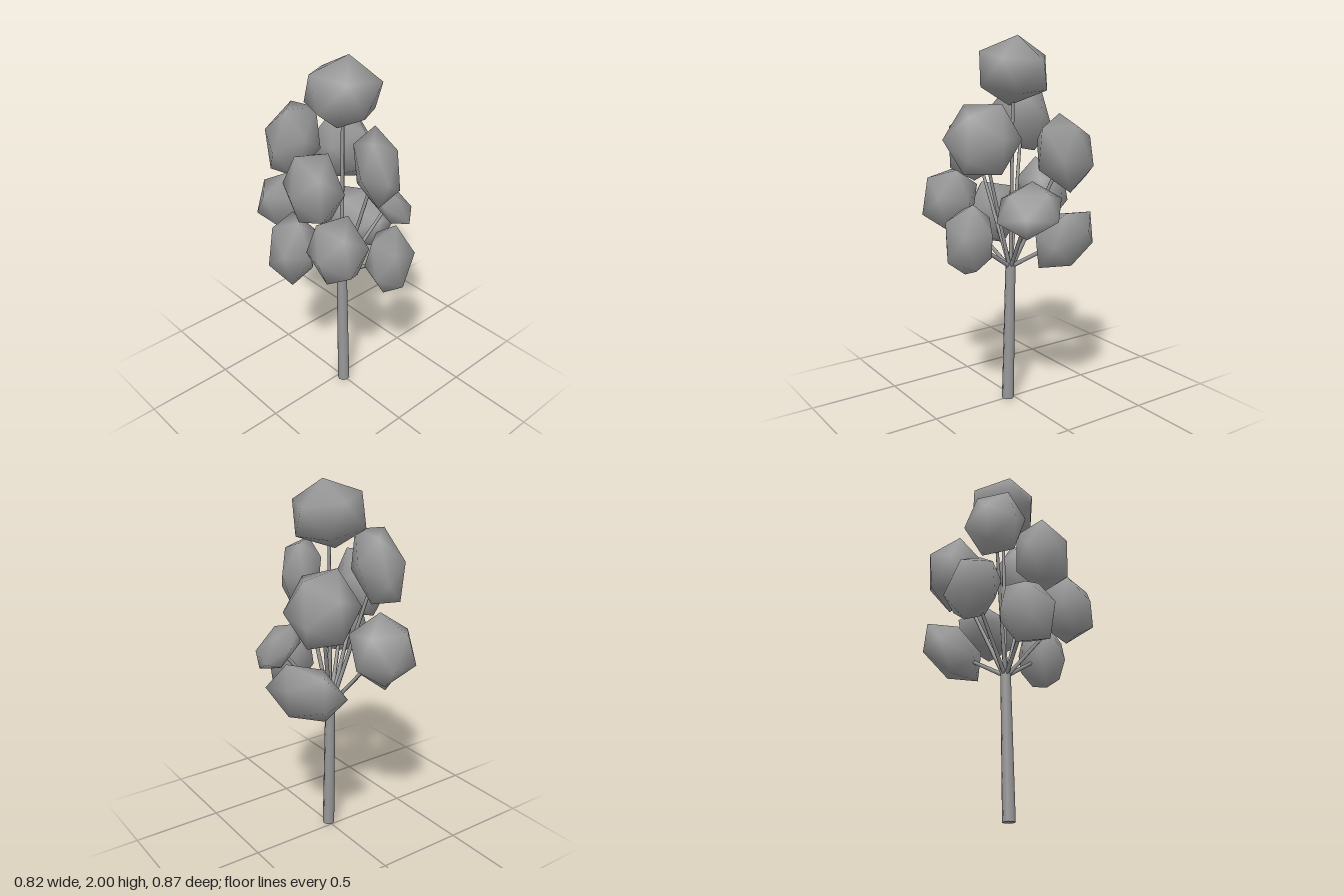
import * as THREE from 'three';
import { mergeVertices } from 'three/addons/utils/BufferGeometryUtils.js';

const V = (a) => new THREE.Vector3(...a);
const grey = new THREE.MeshStandardMaterial({ color: 0x999999 });
grey.name = 'grey';

// Each foliage clump: centre, size, flattening direction, flattening, roll in degrees
const clumps = [
  [[0.012, 1.82, 0.007], [0.4, 0.36, 0.37], [0.64, 0.07, -0.76], 1, 38],
  [[-0.165, 1.565, -0.175], [0.3, 0.37, 0.33], [-0.3, 0.8, -0.5], 0.75, 38],
  [[0.045, 1.48, 0.22], [0.29, 0.36, 0.36], [0.8, 0.1, 0.6], 0.62, 0],
  [[0.195, 1.4, -0.195], [0.3, 0.4, 0.33], [0.6, 0.35, -0.5], 0.8, 10],
  [[-0.25, 1.41, 0.08], [0.285, 0.38, 0.32], [-0.2, 0, 1], 0.95, 3],
  [[-0.245, 1.13, 0.25], [0.31, 0.34, 0.295], [0, 0.2, 1], 0.85, 2],
  [[-0.12, 1.15, -0.285], [0.34, 0.38, 0.3], [0.3, 0.35, -0.9], 0.75, 30],
  [[0.28, 1.14, 0.093], [0.26, 0.26, 0.36], [0.6, 0.7, 0.45], 0.5, 30],
  [[0.265, 0.953, -0.148], [0.28, 0.32, 0.375], [0.85, -0.4, -0.6], 0.65, -5],
  [[0.06, 0.972, 0.318], [0.29, 0.385, 0.235], [0.1, 0.1, 1], 0.6, 15],
  [[-0.285, 1.015, -0.055], [0.25, 0.37, 0.33], [-1, 0.2, -0.2], 0.7, 5],
];

// Smooth icosahedron with a six-sided outline facing n, flattened along n, fitted to size
function clumpGeometry(size, n, flat, roll) {
  let g = new THREE.IcosahedronGeometry(1, 0);
  g.deleteAttribute('normal');
  g.deleteAttribute('uv');
  g = mergeVertices(g, 1e-4);

  const e3 = V([1, 1, 1]).normalize();
  const e1 = V([0, 1, -(1 + Math.sqrt(5)) / 2]).projectOnPlane(e3).normalize();
  const e2 = e3.clone().cross(e1);
  g.applyMatrix4(new THREE.Matrix4().makeBasis(e1, e2, e3).transpose());
  g.rotateZ(THREE.MathUtils.degToRad(roll));
  g.scale(1, 1, flat);

  const w = V(n).normalize();
  const u = V([0, 1, 0]).cross(w).normalize();
  g.applyMatrix4(new THREE.Matrix4().makeBasis(u, w.clone().cross(u), w));

  g.computeBoundingBox();
  const s = V(size).divide(g.boundingBox.getSize(new THREE.Vector3()));
  g.scale(s.x, s.y, s.z);
  g.computeVertexNormals();
  return g;
}

// Tapered straight limb between two points
function limb(name, a, b, r0, r1, sides) {
  const d = b.clone().sub(a);
  const mesh = new THREE.Mesh(new THREE.CylinderGeometry(r1, r0, d.length(), sides), grey);
  mesh.position.copy(a).addScaledVector(d, 0.5);
  mesh.quaternion.setFromUnitVectors(V([0, 1, 0]), d.normalize());
  mesh.name = name;
  return mesh;
}

export function createModel() {
  const tree = new THREE.Group();
  tree.name = 'tree';

  // Slightly leaning trunk
  const fork = V([-0.002, 0.79, 0.016]);
  tree.add(limb('trunk', V([-0.002, 0.001, 0.035]), fork, 0.034, 0.028, 8));

  // One thin branch to every clump
  clumps.forEach(([centre, size, n, flat, roll], i) => {
    const c = V(centre);
    const start = fork.clone().add(V([c.x * 0.04, -0.015, c.z * 0.04]));
    tree.add(limb('branch' + (i + 1), start, c, 0.012, 0.009, 6));

    const clump = new THREE.Mesh(clumpGeometry(size, n, flat, roll), grey);
    clump.position.copy(c);
    clump.name = 'foliage' + (i + 1);
    tree.add(clump);
  });
  return tree;
}
